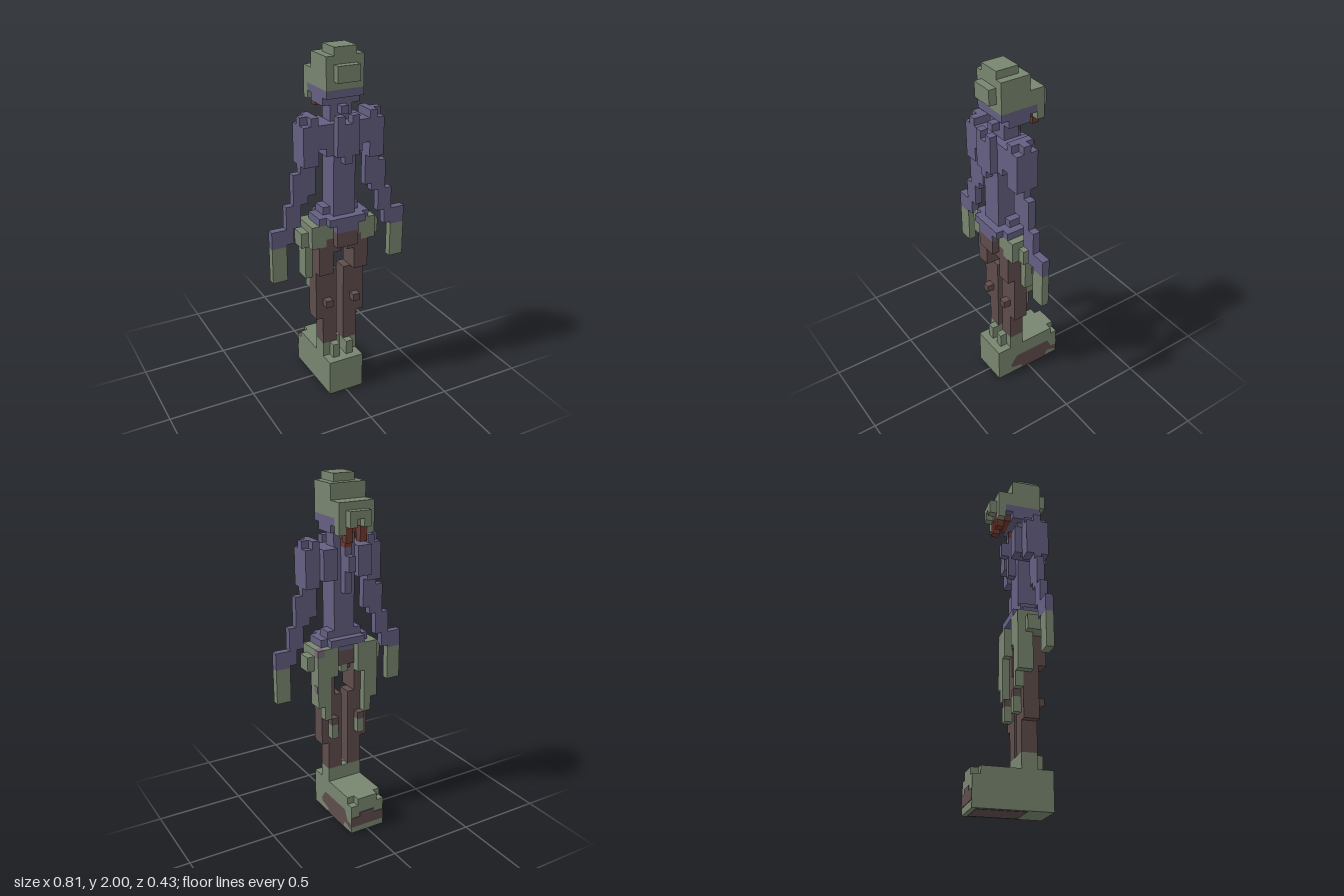
import * as THREE from 'three';

const V = 2 / 47; // edge of one building cube

export function createModel() {
  const model = new THREE.Group();
  model.name = 'cubeFigure';
  const mat = (name, color) => Object.assign(new THREE.MeshStandardMaterial({ color }), { name });
  const green = mat('mossGreen', 0x78866f);
  const purple = mat('dustyPurple', 0x645f82);
  const brown = mat('darkBrown', 0x5e4d4b);
  const red = mat('darkRed', 0x6e3a30);
  const mauve = mat('mauve', 0x776b75);

  // Block spanning ranges given in cubes
  function block(name, material, x0, x1, y0, y1, z0, z1) {
    const geo = new THREE.BoxGeometry((x1 - x0) * V, (y1 - y0) * V, (z1 - z0) * V);
    const mesh = new THREE.Mesh(geo, material);
    mesh.position.set((x0 + x1) / 2 * V, (y0 + y1) / 2 * V, (z0 + z1) / 2 * V);
    mesh.name = name;
    model.add(mesh);
  }
  // Block on both sides
  function pair(name, material, x0, x1, ...rest) {
    block(name + 'Left', material, x0, x1, ...rest);
    block(name + 'Right', material, -x1, -x0, ...rest);
  }
  // Block centred on x
  const mid = (name, material, half, ...rest) => block(name, material, -half, half, ...rest);

  // Base with notched back corners
  mid('base', green, 2.5, 0, 5, -4, 5);
  mid('baseBackLower', green, 2.5, 0, 4, -5, -4);
  mid('baseBackUpper', green, 1.5, 4, 5, -5, -4);
  // Painted patches on the base
  const patch = new THREE.Shape([
    [3, 1.5], [2, 2.9], [-3.4, 2.9], [-4.1, 1.5], [-5, 1.4], [-5, 0.5],
    [-3.4, 1], [-2.9, 0], [1, 0], [1.2, 0.7], [2.8, 1],
  ].map(([z, y]) => new THREE.Vector2(-z * V, y * V)));
  const side = new THREE.Mesh(new THREE.ShapeGeometry(patch), brown);
  side.rotation.y = Math.PI / 2;
  side.position.x = 2.5 * V + 0.003;
  side.name = 'sidePatch';
  model.add(side);
  mid('backStripe', brown, 2.5, 0.9, 2.3, -5.07, -5);
  block('backStripeBump', brown, -1, 1.2, 2.3, 2.9, -5.07, -5);
  mid('undersidePatch', brown, 2.1, 0, 0.05, -4.4, 1.8);
  model.children.at(-1).position.y -= 0.002;

  // Feet
  pair('ankle', green, 0.5, 2.5, 5, 7, 1, 3);
  pair('toe', green, 0.5, 1.5, 5, 7, 3, 4);
  mid('footBridge', green, 0.5, 5, 7, 1, 2);

  // Legs
  pair('shin', brown, 0.5, 2.5, 7, 11, 1, 3);
  pair('knee', brown, 0.5, 3.5, 11, 18, 1, 3);
  pair('kneeKnob', brown, 1.5, 2.5, 13, 14, 3, 4);
  pair('thigh', brown, 1.5, 3.5, 18, 22, 2, 4);
  pair('thighBack', brown, 1.5, 2.5, 18, 22, 1, 2);
  pair('calf', brown, 1.5, 2.5, 14, 15, 0, 1);
  pair('calfPatch', green, 1.5, 2.5, 12, 14, 0, 1);

  // Pelvis and belt
  mid('pelvis', brown, 1.5, 22, 24, 1, 5);
  pair('pelvisSide', brown, 1.5, 2.5, 22, 23, 1, 4);
  mid('crotch', green, 0.5, 21, 22, 1, 3);
  pair('crotchSide', brown, 0.5, 1.5, 21, 22, 2, 4);
  mid('beltFront', purple, 1.5, 24, 26, 1, 5);
  pair('beltSide', purple, 1.5, 3.5, 25, 26, 1, 4);
  pair('beltFrontSide', purple, 1.5, 2.5, 25, 26, 4, 5);
  mid('beltBack', purple, 2.5, 25, 26, 0, 1);
  mid('waist', purple, 2.5, 26, 27, 1, 3);
  pair('hip', green, 1.5, 4.5, 23, 25, 1, 4);
  pair('hipLower', green, 2.5, 4.5, 22, 23, 1, 4);
  pair('hipKnob', green, 4.5, 5.5, 22, 24, 1, 3);
  // Hanging cloth at the hips
  pair('clothSide', green, 3.5, 4.5, 17, 22, 0, 2);
  pair('clothBack', green, 3.5, 4.5, 22, 24, 0, 1);
  block('clothCornerLeft', mauve, 3.5, 4.5, 24, 25, 0, 1);
  block('clothCornerRight', green, -4.5, -3.5, 24, 25, 0, 1);
  pair('clothInner', green, 1.5, 3.5, 21, 25, 0, 1);
  pair('clothStrip', green, 2.5, 3.5, 15, 21, 0, 1);
  block('clothSpot', mauve, 4.5, 4.56, 19, 20, 0.2, 1);

  // Torso
  mid('torso', purple, 1.5, 26, 38, 1, 4);
  mid('chest', purple, 1.5, 34, 38, 4, 5);
  mid('sternum', purple, 0.5, 33, 34, 4, 5);
  pair('collar', purple, 0.5, 1.5, 38, 39, 4, 5);
  pair('ribs', purple, 1.5, 2.5, 34, 38, 1, 4);
  pair('shoulderBridge', purple, 2.5, 3.5, 35, 38, 1, 4);
  pair('shoulderBlade', purple, 1.5, 3.5, 34, 38, 0, 1);
  mid('spine', purple, 0.5, 32, 38, 0, 1);
  mid('spineKnob', purple, 0.5, 35, 37, -1, 0);

  // Arms
  pair('shoulder', purple, 3.5, 4.5, 33, 39, 1, 4);
  pair('shoulderOuter', purple, 4.5, 5.5, 33, 38, 1, 4);
  pair('shoulderCap', purple, 4.5, 5.5, 38, 39, 2, 3);
  pair('upperArm', purple, 3.5, 5.5, 29, 33, 2, 3);
  pair('elbow', purple, 4.5, 6.5, 28, 32, 2, 3);
  pair('forearm', purple, 5.5, 7.5, 25, 28, 2, 3);
  pair('wrist', purple, 6.5, 7.5, 23, 25, 2, 3);
  pair('cuff', purple, 7.5, 9.5, 22.7, 25, 2, 3);
  pair('hand', green, 7.5, 9.5, 18, 22.7, 2, 3);

  // Neck
  mid('neckBase', purple, 1.5, 38, 39, 1, 3);
  mid('throat', red, 0.5, 38, 39, 0, 1);
  mid('neckLower', purple, 0.5, 39, 40, 1, 4);
  pair('neckLowerSide', purple, 0.5, 1.5, 39, 40, 1, 3);
  mid('neck', purple, 1.5, 40, 42, 1, 3);
  mid('nape', purple, 1.5, 41, 42, 3, 4);
  pair('neckSide', purple, 1.5, 2.5, 40, 42, 1, 3);
  pair('napeSide', purple, 1.5, 2.5, 41, 42, 3, 4);
  mid('chin', purple, 2.5, 40, 42, 0, 1);

  // Head
  mid('head', green, 2.5, 42, 46, 1, 4);
  mid('headRear', green, 2.5, 42, 45, 0, 1);
  mid('browRidge', green, 0.5, 45, 46, 0, 1);
  pair('browSide', green, 0.5, 2.5, 45, 46, 0, 1);
  mid('crown', green, 1.5, 46, 47, 1, 4);
  mid('headPlate', green, 1.5, 43, 45, 4, 5);
  mid('face', green, 2.5, 42, 44, -2, 0);
  pair('cheek', green, 1.5, 2.5, 40, 42, -2, -1);
  pair('jaw', purple, 1.5, 2.5, 41, 42, -1, 0);
  mid('mouth', red, 1.5, 40, 42, -1, 0);
  mid('lip', green, 1.5, 41, 42, -2, -1);
  pair('tooth', red, 0.5, 1.5, 39, 41, -2, -1);
  mid('snout', green, 1.5, 42, 43, -3, -2);
  pair('snoutSide', green, 0.5, 1.5, 41, 42, -3, -2);

  return model;
}
